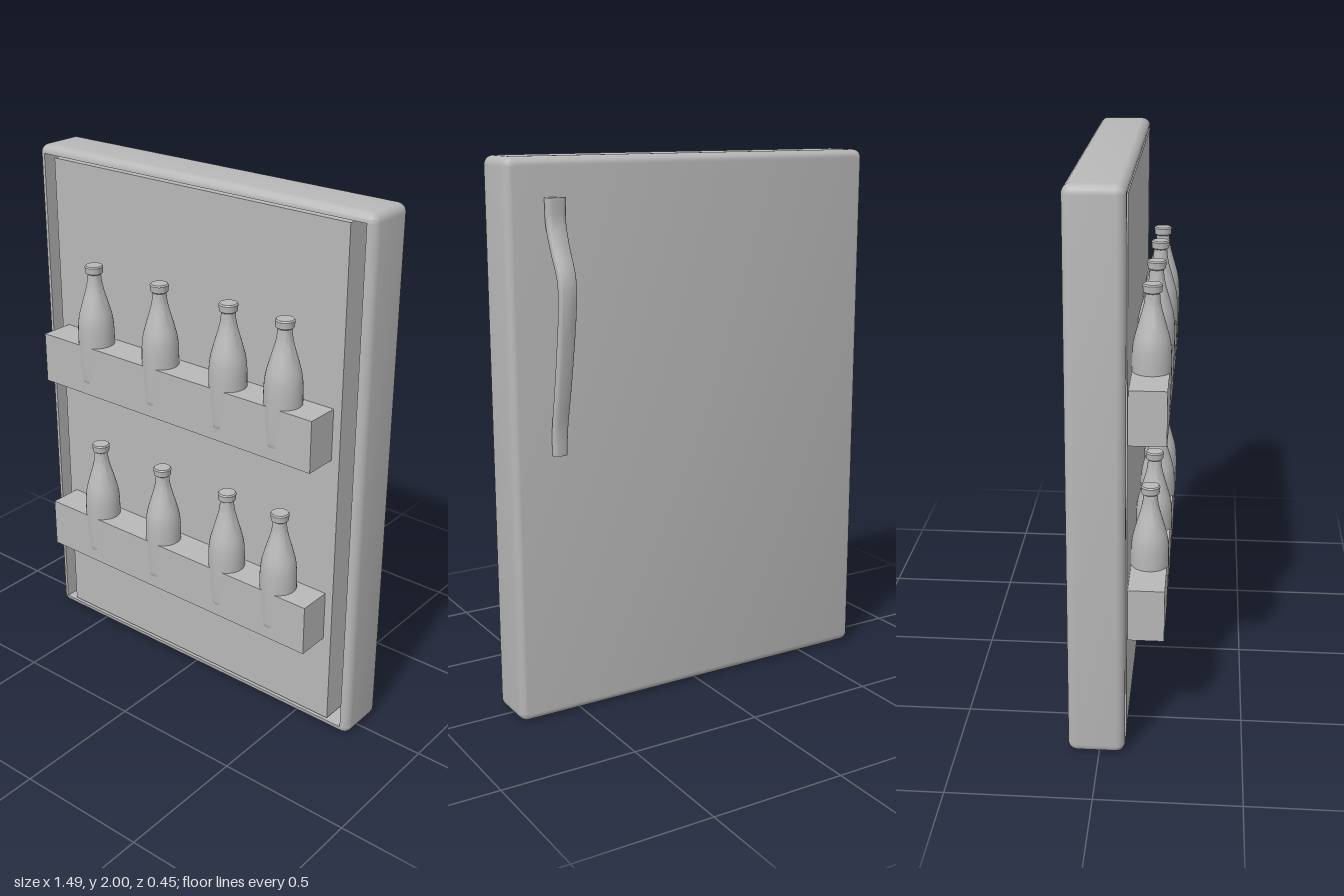
import * as THREE from 'three';
import { toCreasedNormals } from 'three/addons/utils/BufferGeometryUtils.js';

// Skin a list of equal-length point loops (counter-clockwise about the travel direction), with fan caps
function loft(loops) {
  const n = loops[0].length, pos = [];
  const tri = (a, b, c) => pos.push(...a.toArray(), ...b.toArray(), ...c.toArray());
  for (let k = 0; k < loops.length - 1; k++) {
    const a = loops[k], b = loops[k + 1];
    for (let i = 0; i < n; i++) {
      const j = (i + 1) % n;
      tri(a[i], a[j], b[j]);
      tri(a[i], b[j], b[i]);
    }
  }
  const centre = (l) => l.reduce((s, p) => s.add(p), new THREE.Vector3()).divideScalar(n);
  const first = loops[0], last = loops[loops.length - 1];
  const c0 = centre(first), c1 = centre(last);
  for (let i = 0; i < n; i++) {
    const j = (i + 1) % n;
    tri(c0, first[j], first[i]);
    tri(c1, last[i], last[j]);
  }
  const g = new THREE.BufferGeometry();
  g.setAttribute('position', new THREE.Float32BufferAttribute(pos, 3));
  return toCreasedNormals(g, 0.6);
}

// Door shell: rounded outside, deep rectangular recess in the front
function doorShell() {
  const R = 0.032, W = 0.743, zBack = -0.11, zFront = 0.09, steps = 6;
  const ring = (inset, z) => {
    const r = R - inset, pts = [];
    for (let q = 0; q < 4; q++) {
      const sx = q === 0 || q === 3 ? 1 : -1, sy = q < 2 ? 1 : -1;
      for (let i = 0; i <= steps; i++) {
        const a = (q + i / steps) * Math.PI / 2;
        pts.push(new THREE.Vector3(sx * (W - R) + r * Math.cos(a), 1 + sy * (1 - R) + r * Math.sin(a), z));
      }
    }
    return pts;
  };
  const loops = [];
  for (let i = 0; i <= steps; i++) {
    const a = i / steps * Math.PI / 2;
    loops.push(ring(R * (1 - Math.sin(a)), zBack + R * (1 - Math.cos(a))));
  }
  for (let i = 0; i <= steps; i++) {
    const a = i / steps * Math.PI / 2;
    loops.push(ring(R * (1 - Math.cos(a)), zFront - R * (1 - Math.sin(a))));
  }
  loops.push(ring(R, -0.06));
  return loft(loops);
}

// Curved pull handle: rounded section swept down a bowed path, slimmer at the foot
function handleGeometry() {
  const path = new THREE.CatmullRomCurve3([
    [1.865, -0.127], [1.78, -0.128], [1.7, -0.155], [1.6, -0.2], [1.52, -0.204],
    [1.35, -0.18], [1.2, -0.152], [1.07, -0.126], [0.98, -0.121],
  ].map(([y, z]) => new THREE.Vector3(0.575, y, z)));
  const loops = [], N = 36, sides = 20;
  const soft = (v) => Math.sign(v) * Math.pow(Math.abs(v), 0.6);
  for (let k = 0; k <= N; k++) {
    const t = k / N, p = path.getPoint(t), d = path.getTangent(t);
    const across = new THREE.Vector3(1, 0, 0);
    const out = new THREE.Vector3().crossVectors(d, across);
    const hw = 0.036 - 0.01 * t, ht = 0.021 - 0.005 * t, ringPts = [];
    for (let i = 0; i < sides; i++) {
      const a = i / sides * Math.PI * 2;
      ringPts.push(p.clone()
        .addScaledVector(across, hw * soft(Math.cos(a)))
        .addScaledVector(out, ht * soft(Math.sin(a))));
    }
    loops.push(ringPts);
  }
  return loft(loops);
}

// Bottle profile, base at y = 0
function bottleGeometry() {
  const body = new THREE.SplineCurve([
    [0.064, 0.015], [0.067, 0.1], [0.068, 0.2], [0.064, 0.26], [0.052, 0.31],
    [0.036, 0.365], [0.028, 0.4], [0.025, 0.432],
  ].map(([r, y]) => new THREE.Vector2(r, y))).getPoints(28);
  const v = (r, y) => new THREE.Vector2(r, y);
  const profile = [v(0, 0), v(0.052, 0), ...body,
    v(0.032, 0.437), v(0.034, 0.46), v(0.03, 0.465), v(0, 0.465)];
  return toCreasedNormals(new THREE.LatheGeometry(profile, 32), 0.7);
}

export function createModel() {
  const model = new THREE.Group();
  model.name = 'fridgeDoor';
  const grey = new THREE.MeshStandardMaterial({ color: 0xb8b8b8 });
  grey.name = 'grey';

  const add = (name, geometry, x = 0, y = 0, z = 0, parent = model) => {
    const mesh = new THREE.Mesh(geometry, grey);
    mesh.name = name;
    mesh.position.set(x, y, z);
    parent.add(mesh);
    return mesh;
  };

  add('doorShell', doorShell());
  // Liner standing in the recess, leaving a narrow groove around it
  add('innerPanel', new THREE.BoxGeometry(1.31, 1.915, 0.15), -0.002, 1.0025, 0.016);
  add('handle', handleGeometry());

  // Two shelves, each with a row of bottles
  const shelf = new THREE.BoxGeometry(1.246, 0.193, 0.13);
  const bottle = bottleGeometry();
  for (const [rowName, y] of [['lowerRow', 0.39], ['upperRow', 1.118]]) {
    const row = new THREE.Group();
    row.name = rowName;
    row.position.y = y;
    add('shelf', shelf, -0.002, 0.0965, 0.154, row);
    for (const x of [-0.411, -0.092, 0.22, 0.459]) add('bottle', bottle, x, 0.032, 0.157, row);
    model.add(row);
  }
  return model;
}
